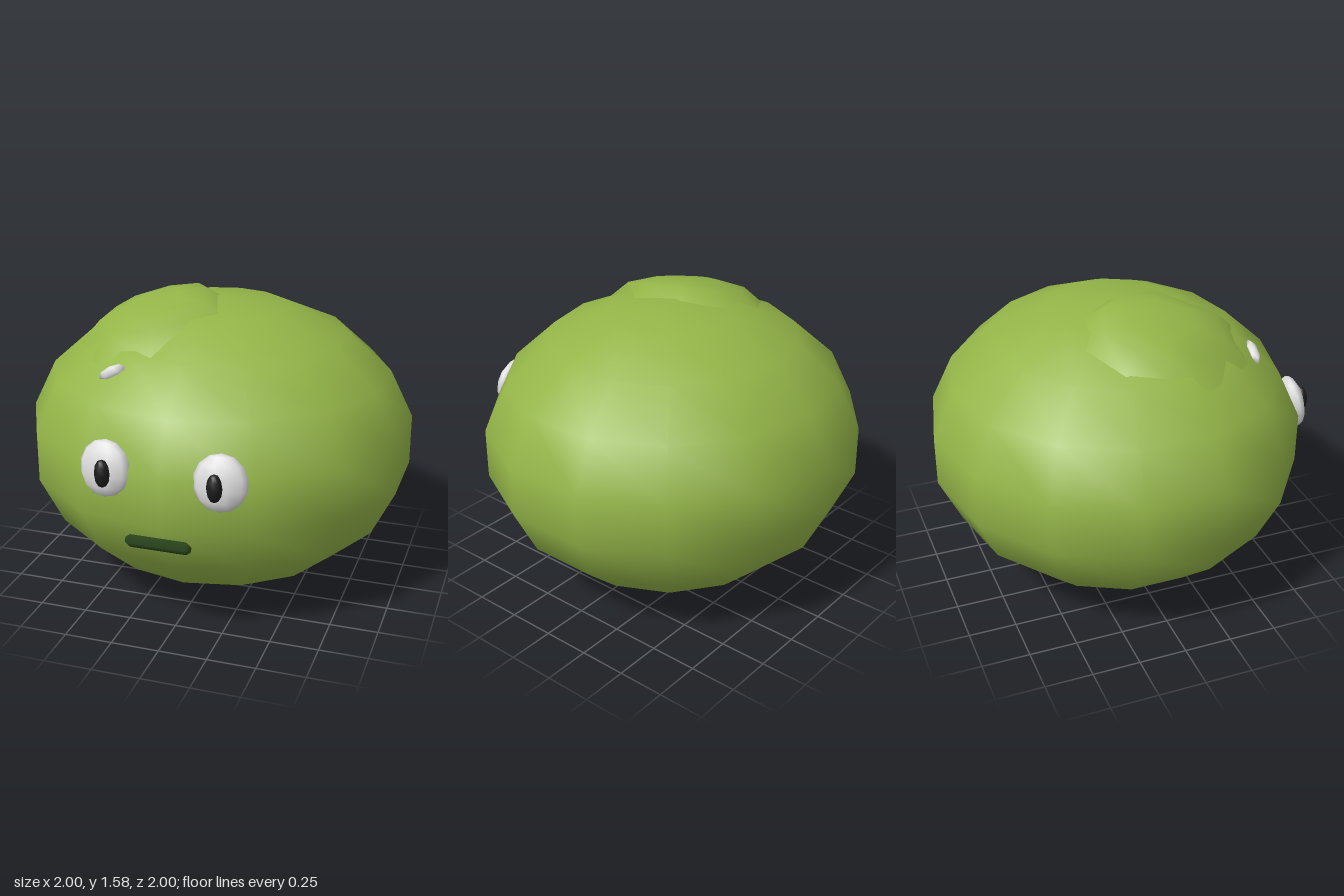
import * as THREE from 'three';

const paint = (name, color) => {
  const m = new THREE.MeshStandardMaterial({ color });
  m.name = name;
  return m;
};

export function createModel() {
  const group = new THREE.Group();
  const green = paint('skin green', 0x94b548);
  const white = paint('eye white', 0xdcdcdc);
  const black = paint('pupil black', 0x1c1c1c);
  const mouthGreen = paint('mouth dark green', 0x2a451c);

  const add = (name, geometry, material, [x, y, z] = [0, 0, 0]) => {
    const mesh = new THREE.Mesh(geometry, material);
    mesh.name = name;
    mesh.position.set(x, y, z);
    group.add(mesh);
    return mesh;
  };
  const ellipsoid = (rx, ry, rz, w, h) => new THREE.SphereGeometry(1, w, h).scale(rx, ry, rz);

  // Squat round body with a vertex row facing the front
  const R = { x: 1.041, y: 0.77, z: 0.995 };
  const C = { y: 0.772, z: -0.02 };
  const ball = new THREE.SphereGeometry(1, 14, 9).rotateY(Math.PI / 2).scale(R.x, R.y, R.z);
  add('body', ball, green, [0, C.y, C.z]);

  // Raised patch on the crown: rings from a centre out to an uneven rim, laid over the body
  const surfaceY = (x, z) =>
    C.y + R.y * Math.sqrt(Math.max(0, 1 - (x / R.x) ** 2 - ((z - C.z) / R.z) ** 2));
  const rim = [[-0.69, 0.23], [-0.49, 0.52], [-0.17, 0.58], [0.06, 0.21], [0, -0.06],
    [-0.12, -0.24], [-0.36, -0.3], [-0.58, -0.17], [-0.64, 0.04]];
  const centre = [-0.31, 0.13];
  const rings = [[0.4, 0.045], [0.75, 0.038], [1, -0.015]]; // reach, lift
  const n = rim.length;
  const points = [centre[0], surfaceY(...centre) + 0.04, centre[1]];
  const faces = [];
  rings.forEach(([t, lift], r) => rim.forEach(([rx, rz], i) => {
    const x = centre[0] + (rx - centre[0]) * t;
    const z = centre[1] + (rz - centre[1]) * t;
    points.push(x, surfaceY(x, z) + lift, z);
    const j = (i + 1) % n;
    const a = 1 + r * n;
    if (r === 0) faces.push(0, a + i, a + j);
    else faces.push(a - n + i, a + i, a + j, a - n + i, a + j, a - n + j);
  }));
  const dome = new THREE.BufferGeometry();
  dome.setAttribute('position', new THREE.Float32BufferAttribute(points, 3));
  dome.setIndex(faces);
  dome.computeVertexNormals();
  add('crownPatch', dome, green);

  // Small pale glint under the patch
  const glint = add('glint', ellipsoid(0.08, 0.033, 0.03, 6, 4), white, [-0.36, 1.287, 0.612]);
  glint.rotation.z = 0.5;

  // Eyes lean back with the body and turn slightly outward
  for (const side of [-1, 1]) {
    const name = side > 0 ? 'left' : 'right';
    const eye = add(name + 'Eye', ellipsoid(0.135, 0.143, 0.06, 10, 7), white, [side * 0.29, 0.907, 0.9]);
    eye.rotation.set(-0.15, side * 0.1, 0);
    add(name + 'Pupil', ellipsoid(0.04, 0.072, 0.036, 8, 6), black, [side * 0.28, 0.905, 0.964]);
  }

  // Straight bar mouth with bevelled ends
  const profile = [[0, -0.165], [0.016, -0.165], [0.034, -0.142], [0.034, 0.142], [0.016, 0.165], [0, 0.165]]
    .map(([x, y]) => new THREE.Vector2(x, y));
  const bar = new THREE.LatheGeometry(profile, 4).rotateZ(Math.PI / 2).scale(1, 1, 0.8);
  add('mouth', bar, mouthGreen, [0, 0.577, 0.973]);

  return group;
}
